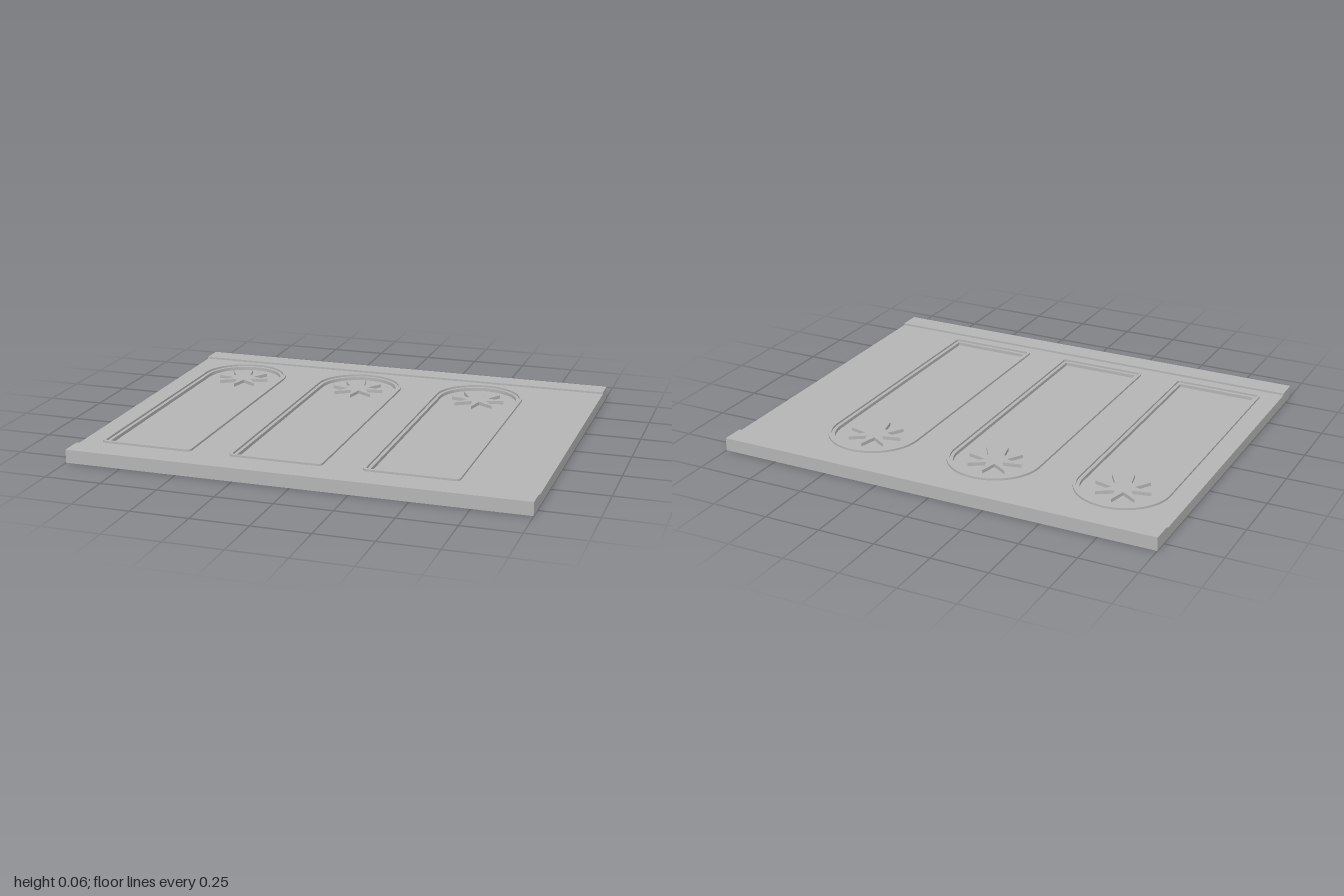
import * as THREE from 'three';

const HALF_DEPTH = 0.815, RAIL = 0.1;
const PANEL_Y = 0.034, FACE_Y = 0.049, TOP_Y = 0.058;
const ARCH_Z = -0.462, ARCH_HALF = 0.205, ARCH_BOTTOM = 0.657;
const ARCH_XS = [-0.707, -0.124, 0.46];

// Arched outline, inset from the widest line; shape y is -z.
function archOutline(target, cx, inset, corner) {
  const r = ARCH_HALF - inset, b = -ARCH_BOTTOM + inset;
  target.moveTo(cx + r, -ARCH_Z);
  target.absarc(cx, -ARCH_Z, r, 0, Math.PI, false);
  target.lineTo(cx - r, b + corner);
  target.quadraticCurveTo(cx - r, b, cx - r + corner, b);
  target.lineTo(cx + r - corner, b);
  target.quadraticCurveTo(cx + r, b, cx + r, b + corner);
  target.closePath();
  return target;
}

function starOutline(cx) {
  const points = [];
  for (let i = 0; i < 16; i++) {
    const r = i % 2 ? 0.048 : 0.123, a = (i * Math.PI) / 8;
    points.push(new THREE.Vector2(cx + r * Math.cos(a), -ARCH_Z + r * Math.sin(a)));
  }
  return new THREE.Shape(points);
}

// Extrude a plan outline upward between two heights.
function raise(shape, y0, y1) {
  return new THREE.ExtrudeGeometry(shape, { depth: y1 - y0, bevelEnabled: false, curveSegments: 32 })
    .rotateX(-Math.PI / 2)
    .translate(0, y0, 0);
}

export function createModel() {
  const group = new THREE.Group();
  const stone = new THREE.MeshStandardMaterial({ color: 0xb4b4b4 });
  stone.name = 'grey';

  const add = (name, geometry) => {
    const mesh = new THREE.Mesh(geometry, stone);
    mesh.name = name;
    group.add(mesh);
  };

  // Backing slab, forming the floor of the recessed panels
  add('backing', new THREE.BoxGeometry(2, PANEL_Y, HALF_DEPTH * 2).translate(0, PANEL_Y / 2, 0));

  // Face layer with arched openings
  const face = new THREE.Shape([
    new THREE.Vector2(-1, -HALF_DEPTH), new THREE.Vector2(1, -HALF_DEPTH),
    new THREE.Vector2(1, HALF_DEPTH), new THREE.Vector2(-1, HALF_DEPTH),
  ]);
  for (const x of ARCH_XS) face.holes.push(archOutline(new THREE.Path(), x, 0.027, 0.002));
  add('face', raise(face, PANEL_Y, FACE_Y));

  // Raised rails along the two long edges
  for (const side of [-1, 1]) {
    const rail = new THREE.BoxGeometry(2, TOP_Y - FACE_Y, RAIL);
    rail.translate(0, (TOP_Y + FACE_Y) / 2, side * (HALF_DEPTH - RAIL / 2));
    add(side < 0 ? 'backRail' : 'frontRail', rail);
  }

  // Raised arch mouldings and stars
  for (const x of ARCH_XS) {
    const trim = archOutline(new THREE.Shape(), x, 0, 0.025);
    trim.holes.push(archOutline(new THREE.Path(), x, 0.012, 0.015));
    add('archTrim', raise(trim, FACE_Y, TOP_Y));
    add('star', raise(starOutline(x), PANEL_Y, FACE_Y));
  }
  return group;
}
